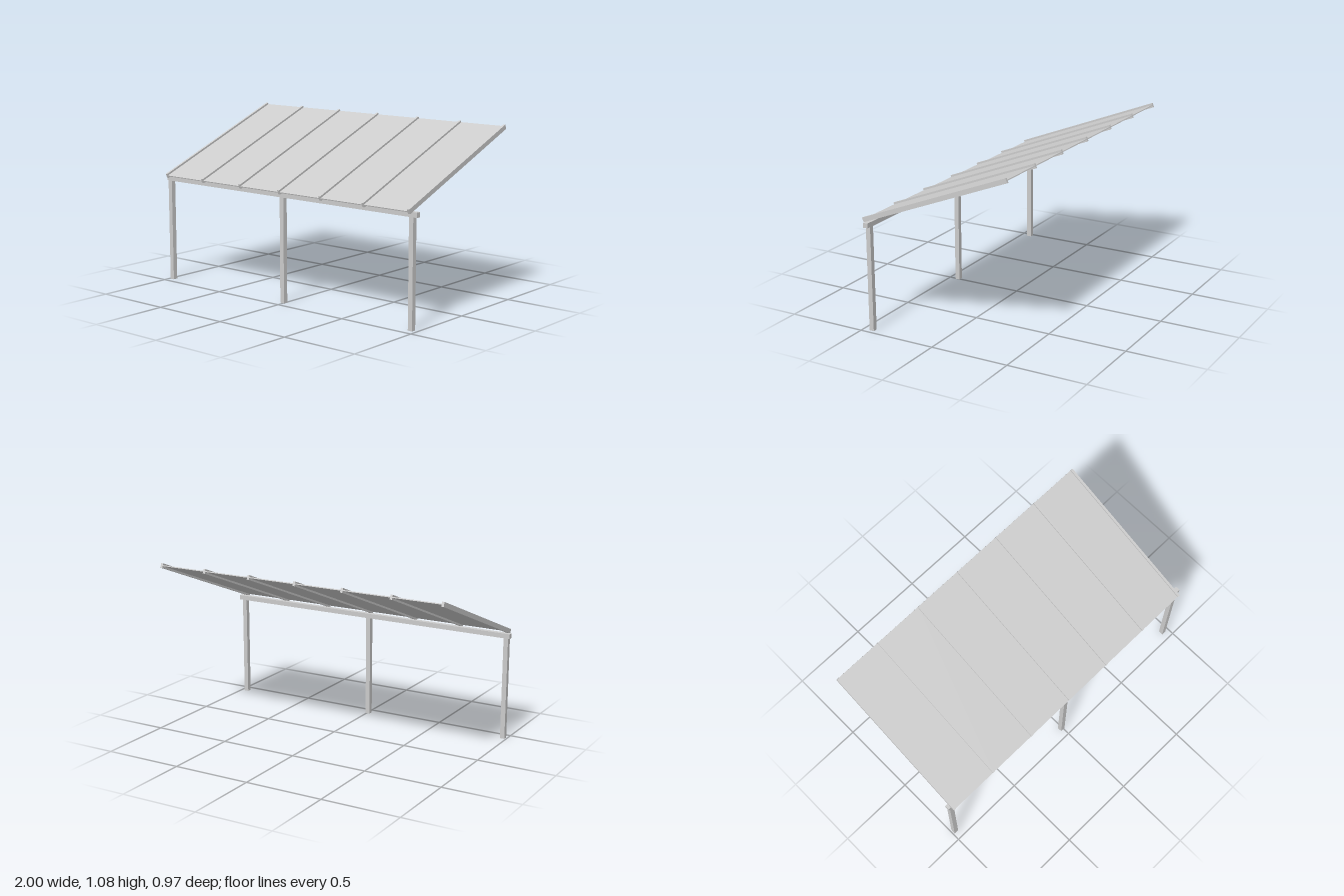
import * as THREE from 'three';

export function createModel() {
  const root = new THREE.Group();
  root.name = 'patioCanopy';
  const mat = new THREE.MeshStandardMaterial({ color: 0xcccccc });

  const box = (parent, name, w, h, d, x, y, z) => {
    const mesh = new THREE.Mesh(new THREE.BoxGeometry(w, h, d), mat);
    mesh.name = name;
    mesh.position.set(x, y, z);
    parent.add(mesh);
    return mesh;
  };

  const xLeft = -0.975, xRight = 0.96, span = xRight - xLeft;
  const xMid = (xLeft + xRight) / 2;
  const postTop = 0.653, beamSize = 0.03, frontZ = 0.44;

  // Three square posts along the front
  for (let i = 0; i < 3; i++) {
    box(root, 'post', 0.03, postTop, 0.03, xLeft + (span * i) / 2, postTop / 2, frontZ);
  }

  // Gutter beam resting on the posts
  box(root, 'frontBeam', 2, beamSize, beamSize, 0, postTop + beamSize / 2, frontZ);

  // Sloping roof, rising towards the back
  const roof = new THREE.Group();
  roof.name = 'roof';
  roof.position.y = 0.878;
  roof.rotation.x = Math.atan2(0.382, 0.96);
  root.add(roof);

  const length = 1.033, bays = 6;
  for (let i = 0; i <= bays; i++) {
    box(roof, 'rafter', 0.015, 0.029, length, xLeft + (span * i) / bays, 0, 0);
  }

  // Thin roof panels between the rafters
  const bay = span / bays;
  for (let i = 0; i < bays; i++) {
    box(roof, 'roofPanel', bay, 0.006, length, xMid + (i - (bays - 1) / 2) * bay, 0, 0);
  }
  return root;
}
